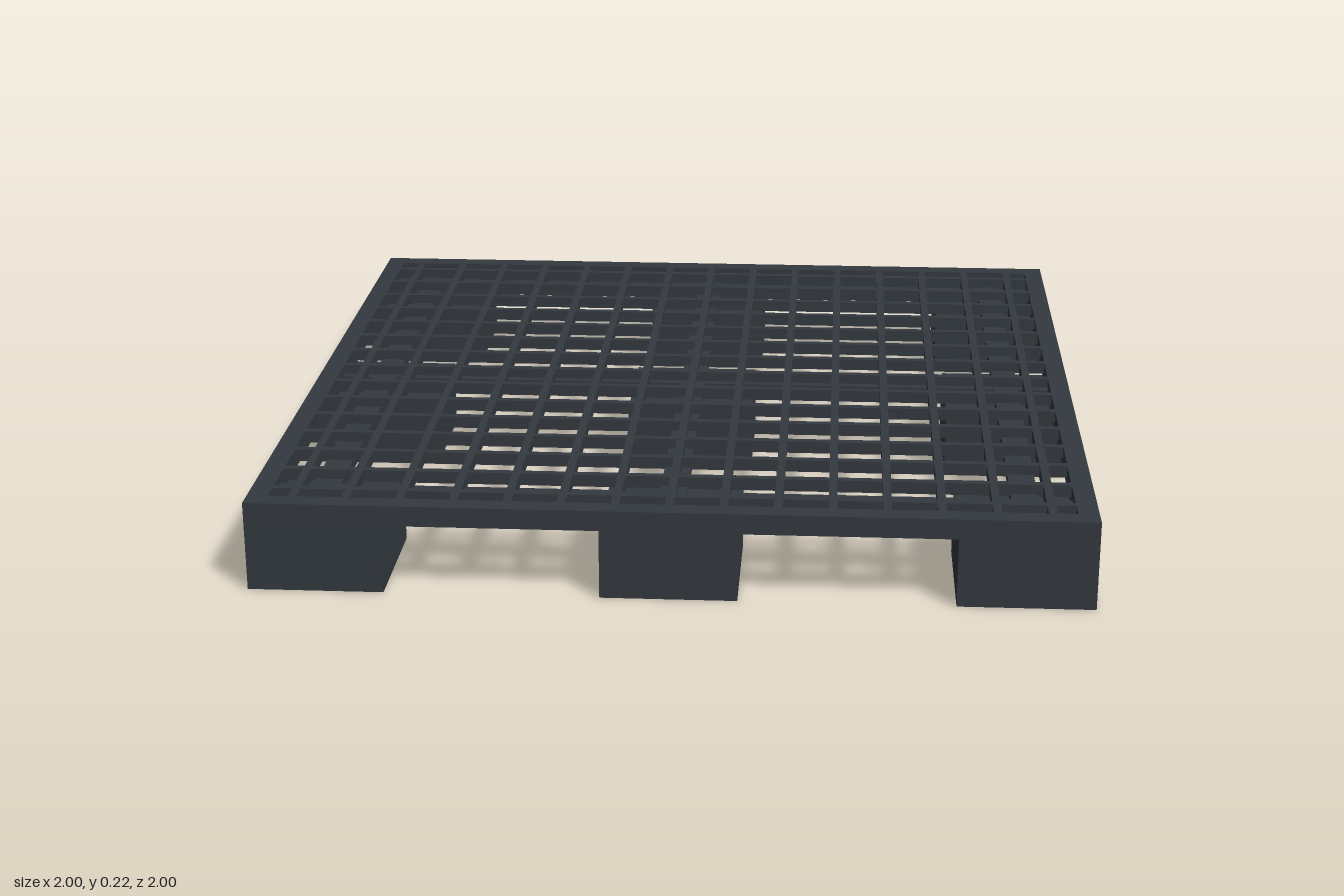
import * as THREE from 'three';

export function createModel() {
  const model = new THREE.Group();
  model.name = 'pallet';
  const plastic = new THREE.MeshStandardMaterial({ color: 0x343a40 });
  plastic.name = 'dark grey plastic';

  // Box given by its centre in plan, its bottom and its top
  function box(name, w, d, y0, y1, x, z) {
    const mesh = new THREE.Mesh(new THREE.BoxGeometry(w, y1 - y0, d), plastic);
    mesh.name = name;
    mesh.position.set(x, (y0 + y1) / 2, z);
    model.add(mesh);
  }

  const top = 0.22, underside = 0.17, rim = 0.05;

  // Nine feet in a three by three layout
  const foot = 0.325, rows = [-1 + foot / 2, 0, 1 - foot / 2];
  for (const x of rows) for (const z of rows) box('foot', foot, foot, 0, underside, x, z);

  // Deck rim
  for (const s of [-1, 1]) {
    box('sideRim', rim, 2, underside, top, s * (1 - rim / 2), 0);
    box('endRim', 2 - 2 * rim, rim, underside, top, 0, s * (1 - rim / 2));
  }

  // Open grid of slim deck bars
  const pitch = 0.1275, bar = 0.02, inner = 2 - 2 * rim;
  for (let i = -7; i <= 7; i++) {
    box('lengthBar', bar, inner, 0.19, top, i * pitch, 0);
    box('crossBar', inner, bar, 0.19, top, 0, i * pitch);
  }

  // Wider support beams under the grid, joining the feet
  for (const p of rows) {
    box('lengthBeam', 0.064, inner, underside, 0.195, p, 0);
    box('crossBeam', inner, 0.064, underside, 0.195, 0, p);
  }
  return model;
}
